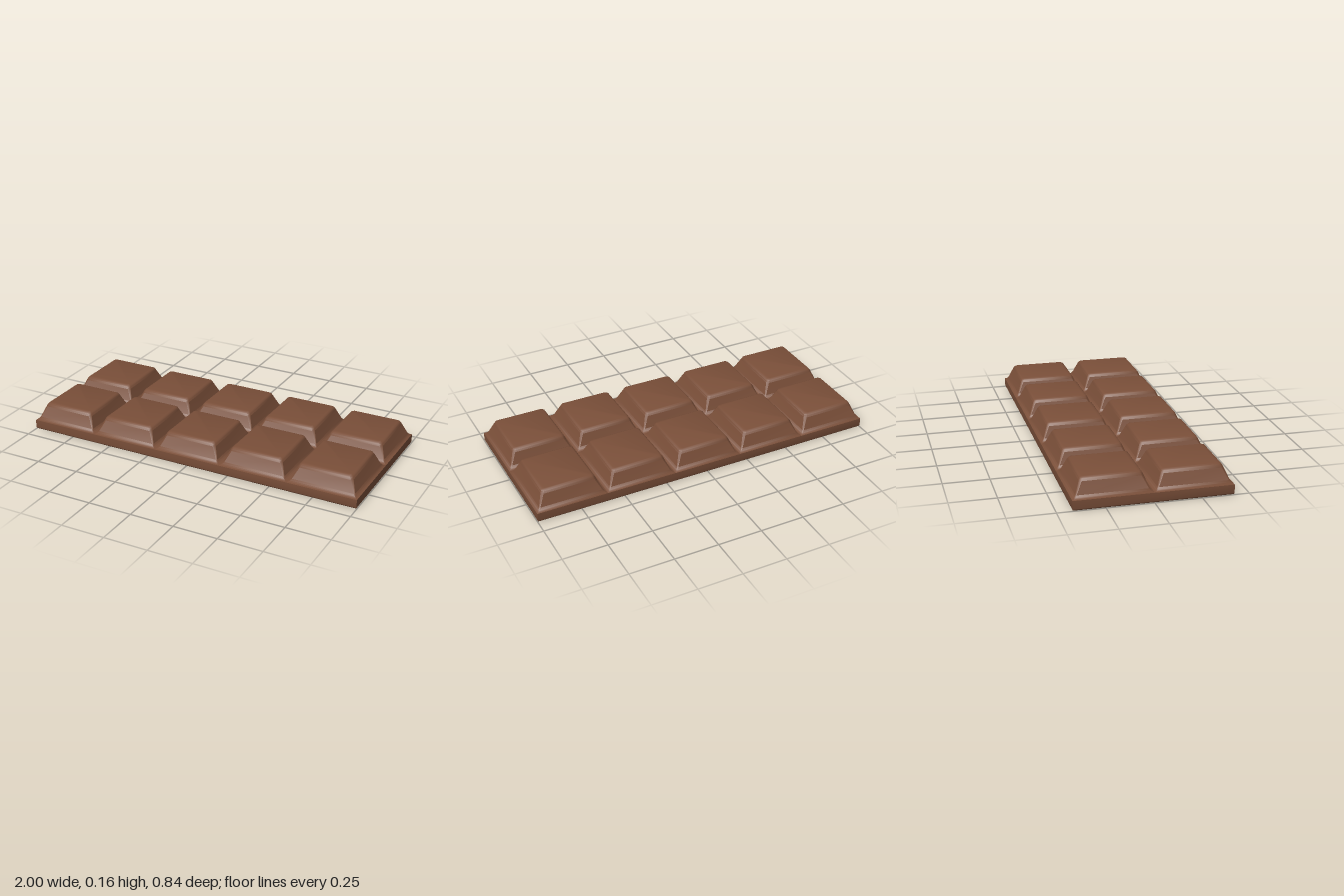
import * as THREE from 'three';
import { toCreasedNormals } from 'three/addons/utils/BufferGeometryUtils.js';

// Stack of rectangular rings [inset, y, corner chamfer], closed at top and bottom
function stackedBlock(width, depth, rings) {
  const points = [];
  const faces = [];
  for (const [inset, y, c] of rings) {
    const a = width / 2 - inset;
    const b = depth / 2 - inset;
    const outline = [
      [a, b - c], [a, -b + c], [a - c, -b], [-a + c, -b],
      [-a, -b + c], [-a, b - c], [-a + c, b], [a - c, b],
    ];
    for (const [x, z] of outline) points.push(x, y, z);
  }
  for (let r = 0; r < rings.length - 1; r++) {
    for (let i = 0; i < 8; i++) {
      const p = r * 8 + i;
      const q = r * 8 + (i + 1) % 8;
      faces.push(p, q, q + 8, p, q + 8, p + 8);
    }
  }
  const top = (rings.length - 1) * 8;
  for (let i = 1; i < 7; i++) {
    faces.push(top, top + i, top + i + 1);
    faces.push(0, i + 1, i);
  }
  const geometry = new THREE.BufferGeometry();
  geometry.setAttribute('position', new THREE.Float32BufferAttribute(points, 3));
  geometry.setIndex(faces);
  return toCreasedNormals(geometry, 0.7);
}

export function createModel() {
  const chocolate = new THREE.MeshStandardMaterial({ color: 0x7a4f39 });
  chocolate.name = 'milk chocolate';
  const bar = new THREE.Group();
  bar.name = 'chocolateBar';

  // Slab under all the pieces, with a softened lower edge
  const slab = new THREE.Mesh(stackedBlock(2, 0.84, [
    [0.008, 0, 0], [0.002, 0.004, 0], [0, 0.01, 0], [0, 0.055, 0],
  ]), chocolate);
  slab.name = 'baseSlab';
  bar.add(slab);

  // Ten sloped pieces; the flared foot of each forms the rounded grooves
  const pieceGeometry = stackedBlock(0.4, 0.42, [
    [0, 0.055, 0], [0.008, 0.058, 0.001], [0.014, 0.064, 0.003], [0.02, 0.074, 0.006],
    [0.045, 0.136, 0.012], [0.05, 0.147, 0.012], [0.055, 0.153, 0.012], [0.064, 0.157, 0.012],
  ]);
  for (let row = 0; row < 2; row++) {
    for (let column = 0; column < 5; column++) {
      const piece = new THREE.Mesh(pieceGeometry, chocolate);
      piece.name = `piece${row + 1}_${column + 1}`;
      piece.position.set((column - 2) * 0.4, 0, (row - 0.5) * 0.42);
      bar.add(piece);
    }
  }
  return bar;
}
